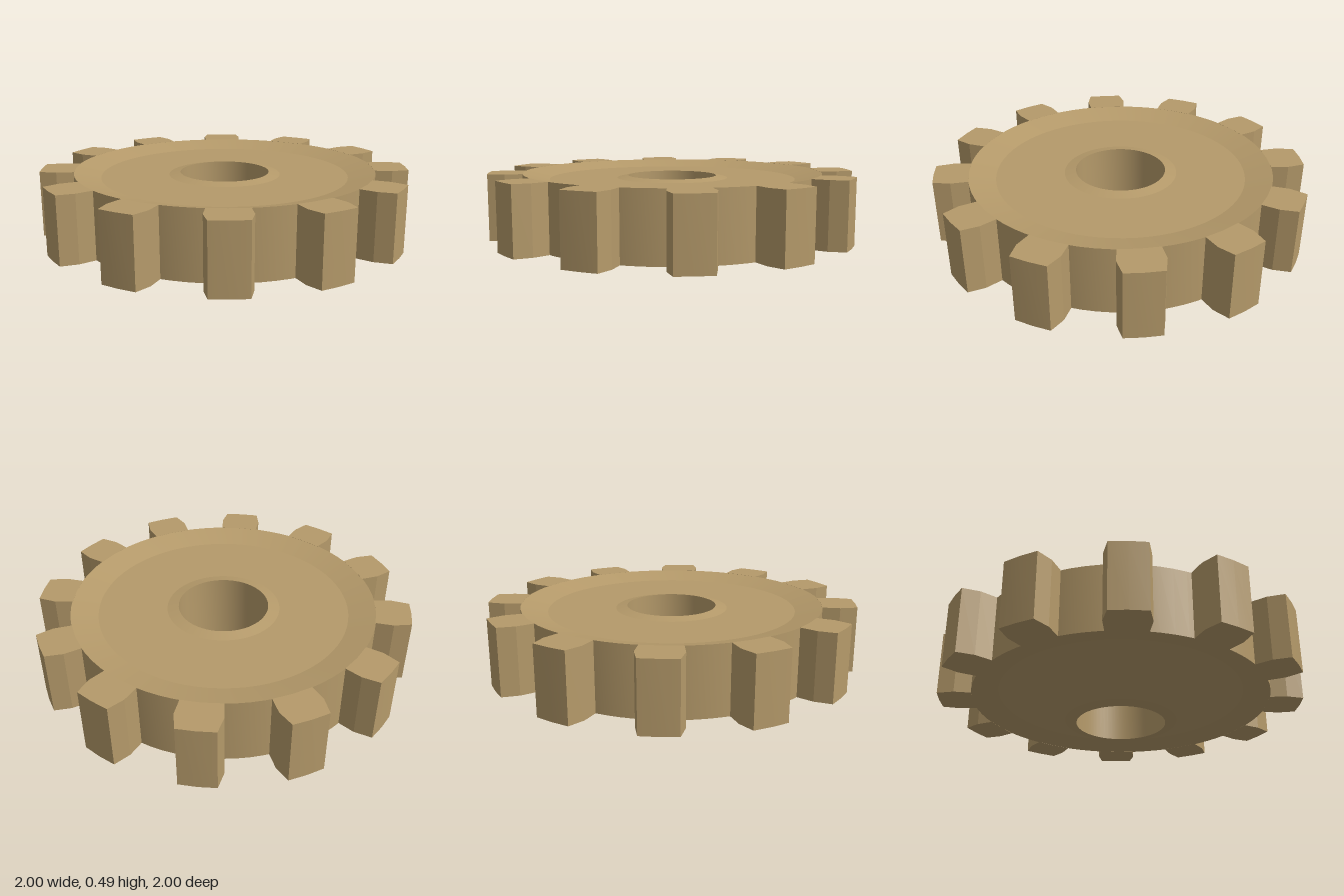
import * as THREE from 'three';
import { toCreasedNormals } from 'three/addons/utils/BufferGeometryUtils.js';

const TEETH = 12;
const BOTTOM = 0.127, TOP = 0.49;
const ROOT = 0.825;
const deg = THREE.MathUtils.degToRad;

// Turned body: hub, conical underside, dished top and bore
function bodyGeometry() {
  const profile = [
    [0.245, 0], [0.307, 0.013],        // hub face
    [0.68, 0.16], [ROOT, BOTTOM],      // cone and rim underside
    [ROOT, TOP], [0.68, 0.455],        // rim wall and dished top
    [0.307, 0.455], [0.245, 0.468],    // web and bore lip
    [0.245, 0],                        // bore
  ].map(([r, y]) => new THREE.Vector2(r, y));
  return toCreasedNormals(new THREE.LatheGeometry(profile, 72), deg(9));
}

// One tooth: radial flanks that taper towards a curved tip
function toothGeometry() {
  const half = [[ROOT - 0.002, 7.3], [0.919, 7.2], [1.01, 5.45]];
  const outline = [
    ...half.map(([r, a]) => [r, -a]),
    [1.01, 0],
    ...half.slice().reverse(),
    [ROOT - 0.002, 0],
  ].map(([r, a]) => new THREE.Vector2(r * Math.sin(deg(a)), r * Math.cos(deg(a))));
  const geometry = new THREE.ExtrudeGeometry(new THREE.Shape(outline), {
    depth: TOP - BOTTOM, bevelEnabled: false,
  });
  geometry.rotateX(-Math.PI / 2);
  geometry.translate(0, BOTTOM, 0);
  return toCreasedNormals(geometry, deg(9));
}

export function createModel() {
  const model = new THREE.Group();
  model.name = 'gear';
  const material = new THREE.MeshStandardMaterial({ color: 0xb59a6a });

  const body = new THREE.Mesh(bodyGeometry(), material);
  body.name = 'gearBody';
  model.add(body);

  // Ring of evenly spaced teeth
  const teeth = new THREE.Group();
  teeth.name = 'teeth';
  const geometry = toothGeometry();
  for (let i = 0; i < TEETH; i++) {
    const tooth = new THREE.Mesh(geometry, material);
    tooth.name = `tooth${i + 1}`;
    tooth.rotation.y = -deg(15.9 + i * 360 / TEETH);
    teeth.add(tooth);
  }
  model.add(teeth);
  return model;
}
